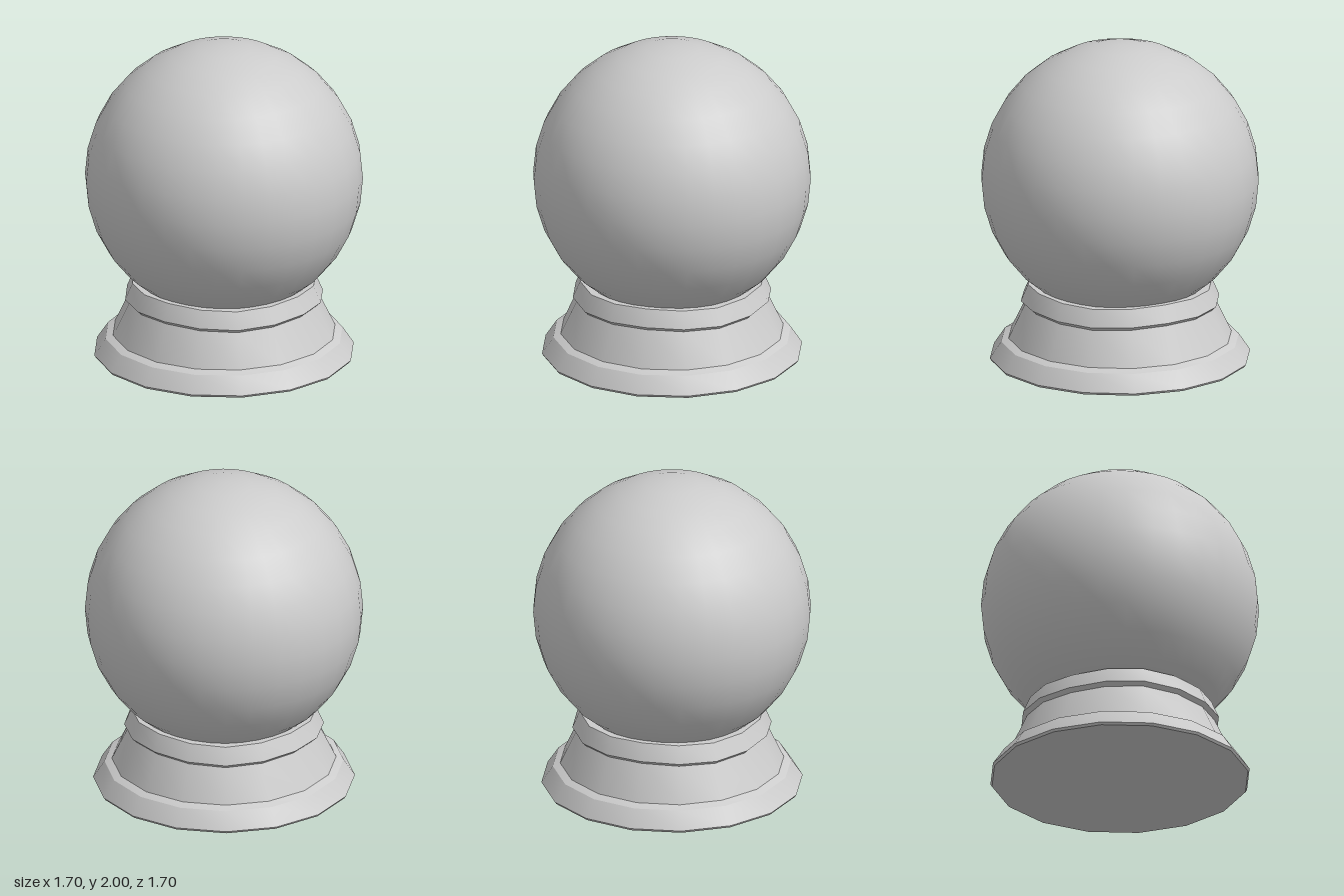
import * as THREE from 'three';
import { toCreasedNormals } from 'three/addons/utils/BufferGeometryUtils.js';

const SIDES = 16;

// Turned part with sharp profile edges; wobble dips the edges on the diagonals
function turned(name, profile, material, wobble = () => 0) {
  const points = profile.map(([r, y]) => new THREE.Vector2(r, y));
  const geometry = new THREE.LatheGeometry(points, SIDES);
  const p = geometry.attributes.position;
  for (let i = 0; i < p.count; i++) {
    const angle = Math.atan2(p.getX(i), p.getZ(i));
    const dip = (1 - Math.cos(4 * angle)) / 2;
    p.setY(i, p.getY(i) - wobble(p.getY(i)) * dip);
  }
  const mesh = new THREE.Mesh(toCreasedNormals(geometry, 0.42), material);
  mesh.name = name;
  return mesh;
}

export function createModel() {
  const model = new THREE.Group();
  model.name = 'globeOnStand';
  const material = new THREE.MeshStandardMaterial({ color: 0xcccccc });

  // Globe sunk into the stand
  const globe = new THREE.Mesh(new THREE.SphereGeometry(0.85, 32, 16), material);
  globe.name = 'globe';
  globe.position.y = 1.15;
  model.add(globe);

  // Stand: foot, tapered body, undercut and collar
  model.add(turned('stand', [
    [0, 0], [0.79, 0], [0.8, 0.015],
    [0.73, 0.12], [0.685, 0.14],
    [0.585, 0.36], [0.61, 0.383],
    [0.565, 0.488], [0.5, 0.488],
  ], material, (y) => (y > 0.3 ? 0.014 : 0)));

  return model;
}
